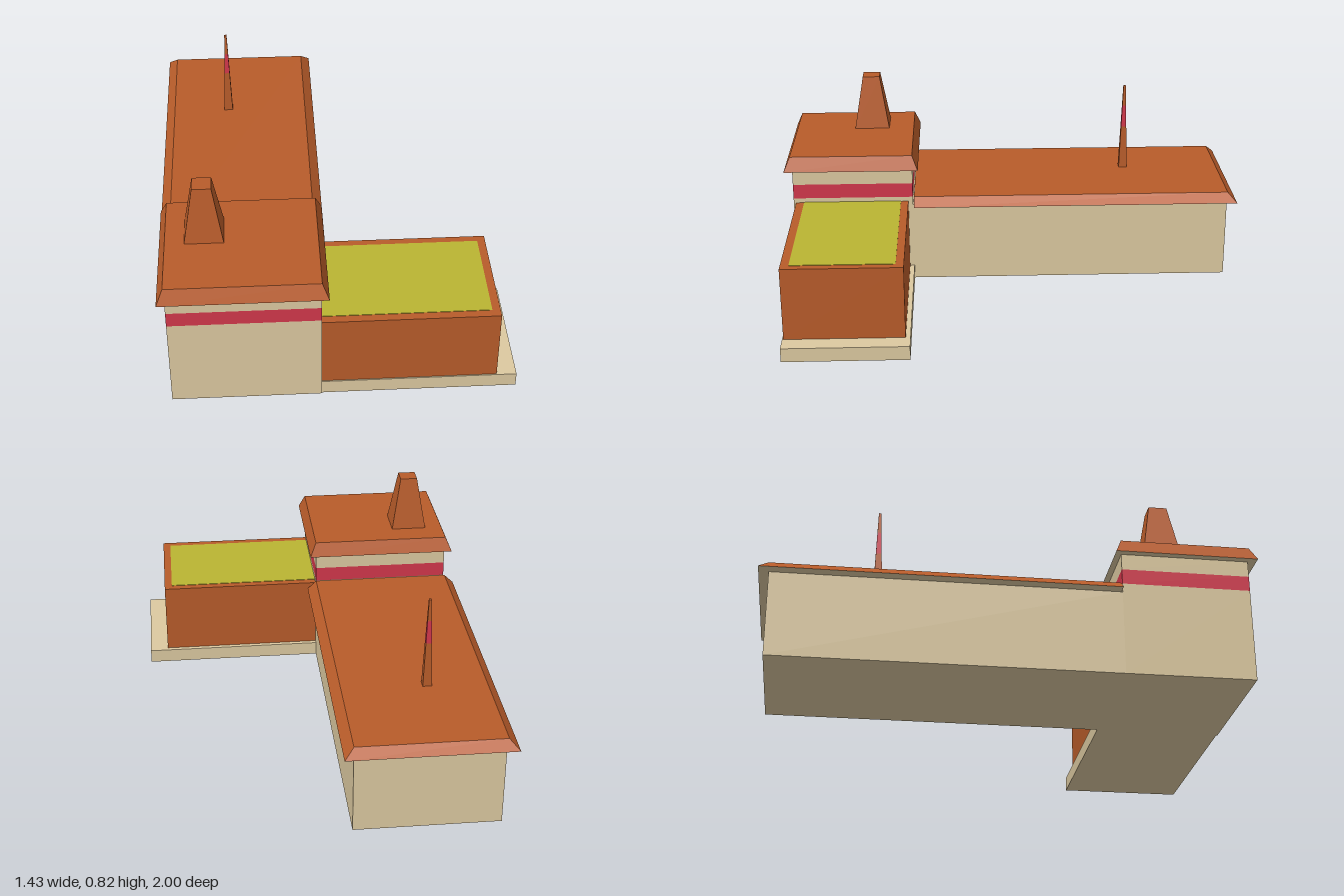
import * as THREE from 'three';

const paint = (color) => new THREE.MeshStandardMaterial({ color, flatShading: true });

export function createModel() {
  const model = new THREE.Group();
  const cream = paint(0xdcc9a0);
  const orange = paint(0xb85c2a);
  const red = paint(0xd2374b);
  const green = paint(0xbab532);
  // Tiled roofs carry a cream soffit (face order: +x, -x, +y, -y, +z, -z)
  const roofing = [orange, orange, orange, cream, orange, orange];

  // Block between two heights; rectangles are [x0, x1, z0, z1], top may differ from bottom
  function block(name, material, y0, y1, base, top = base, parent = model) {
    const geometry = new THREE.BoxGeometry(1, 1, 1);
    const p = geometry.attributes.position;
    for (let i = 0; i < p.count; i++) {
      const upper = p.getY(i) > 0;
      const r = upper ? top : base;
      p.setXYZ(i, p.getX(i) < 0 ? r[0] : r[1], upper ? y1 : y0, p.getZ(i) < 0 ? r[2] : r[3]);
    }
    geometry.computeVertexNormals();
    const mesh = new THREE.Mesh(geometry, material);
    mesh.name = name;
    parent.add(mesh);
    return mesh;
  }

  // Square footprint around a centre
  const square = (x, z, h) => [x - h, x + h, z - h, z + h];

  // Long rear hall with an eaved roof
  block('hallWalls', cream, 0, 0.355, [-0.67, -0.07, -0.96, 0.44]);
  block('hallRoof', roofing, 0.355, 0.393, [-0.715, -0.03, -1, 0.435], [-0.675, -0.07, -0.962, 0.435]);

  // Front tower, with a red band under the top course
  const tower = [-0.67, -0.07, 0.44, 0.965];
  block('towerWalls', cream, 0, 0.393, tower);
  block('towerBand', red, 0.393, 0.457, tower);
  block('towerTopCourse', cream, 0.457, 0.525, tower);
  block('towerRoof', roofing, 0.525, 0.587, [-0.7, -0.042, 0.415, 1], [-0.673, -0.069, 0.44, 0.973]);
  block('chimney', orange, 0.587, 0.822, square(-0.518, 0.63, 0.078), square(-0.518, 0.63, 0.038));

  // Side wing on its plinth, with a green roof panel
  block('plinth', cream, 0, 0.06, [-0.07, 0.713, 0.44, 0.96]);
  block('wing', orange, 0.06, 0.372, [-0.07, 0.633, 0.46, 0.955]);
  block('wingRoofPanel', green, 0.37, 0.374, [-0.07, 0.6, 0.493, 0.92]);

  // Tapering mast in three stacked sections, the middle one red
  const mast = new THREE.Group();
  mast.name = 'mast';
  model.add(mast);
  const heights = [0.393, 0.59, 0.69, 0.785];
  const mastSquare = (y) =>
    square(-0.425, -0.528, THREE.MathUtils.mapLinear(y, 0.393, 0.785, 0.019, 0.005));
  ['mastBase', 'mastBand', 'mastTip'].forEach((name, i) => {
    const [y0, y1] = [heights[i], heights[i + 1]];
    block(name, i === 1 ? red : orange, y0, y1, mastSquare(y0), mastSquare(y1), mast);
  });

  return model;
}
